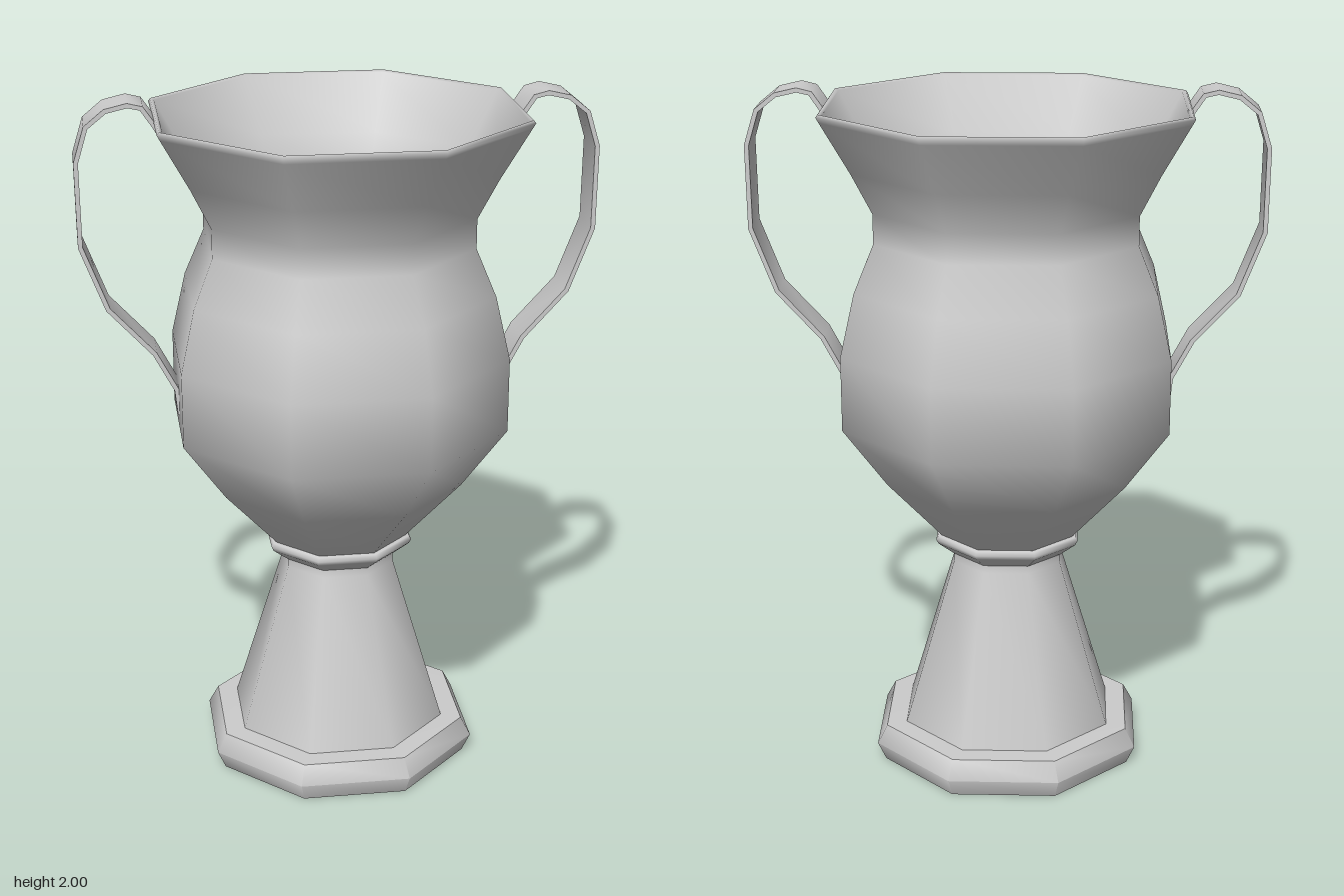
import * as THREE from 'three';
import { toCreasedNormals } from 'three/addons/utils/BufferGeometryUtils.js';

const SIDES = 8;
const toCorner = 1 / Math.cos(Math.PI / SIDES);
const material = new THREE.MeshStandardMaterial({ color: 0xcccccc });

// Eight-sided turned part; profile is [distance to flat, height], bottom to top
function turned(name, profile, crease) {
  const points = profile.map(([r, y]) => new THREE.Vector2(r * toCorner, y));
  let geometry = new THREE.LatheGeometry(points, SIDES, Math.PI / SIDES);
  if (crease) geometry = toCreasedNormals(geometry, crease);
  const mesh = new THREE.Mesh(geometry, material);
  mesh.name = name;
  return mesh;
}

// Flat strap following a path in the xy plane
function strap(name, path, thickness, width) {
  const pts = path.map(([x, y]) => new THREE.Vector2(x, y));
  const offset = (side) => pts.map((p, i) => {
    const a = pts[Math.max(i - 1, 0)];
    const b = pts[Math.min(i + 1, pts.length - 1)];
    const d = b.clone().sub(a).normalize();
    return new THREE.Vector2(p.x - d.y * side, p.y + d.x * side);
  });
  const outline = [...offset(thickness / 2), ...offset(-thickness / 2).reverse()];
  const geometry = new THREE.ExtrudeGeometry(new THREE.Shape(outline), { depth: width, bevelEnabled: false });
  geometry.translate(0, 0, -width / 2);
  const mesh = new THREE.Mesh(toCreasedNormals(geometry, 0.9), material);
  mesh.name = name;
  return mesh;
}

export function createModel() {
  const group = new THREE.Group();
  group.name = 'trophyCup';

  // Foot and stem
  group.add(turned('base', [
    [0, 0], [0.36, 0], [0.383, 0.055], [0.355, 0.11], [0.29, 0.112], [0, 0.112],
  ], 1.05));
  group.add(turned('stem', [[0.3, 0.105], [0.155, 0.61], [0.155, 0.65]]));
  group.add(turned('collar', [
    [0.14, 0.625], [0.157, 0.635], [0.2, 0.672], [0.206, 0.685], [0.2, 0.696], [0.17, 0.7],
  ]));

  // Cup: outer wall, rolled rim, inner wall and floor
  group.add(turned('cup', [
    [0.15, 0.68], [0.19, 0.697], [0.34, 0.875], [0.46, 1.055], [0.46, 1.27],
    [0.42, 1.45], [0.365, 1.585], [0.365, 1.67], [0.42, 1.785], [0.498, 1.93],
    [0.506, 1.945], [0.5, 1.953], [0.49, 1.948],
    [0.405, 1.79], [0.35, 1.675], [0.35, 1.58], [0.405, 1.445], [0.445, 1.265],
    [0.445, 1.06], [0.325, 0.885], [0.17, 0.715], [0, 0.715],
  ]));

  // Strap handles, one per side
  const handlePath = [
    [0.478, 1.89], [0.505, 1.937], [0.537, 1.984], [0.575, 1.993], [0.635, 1.979],
    [0.688, 1.936], [0.718, 1.84], [0.716, 1.605], [0.648, 1.425], [0.524, 1.29],
    [0.466, 1.18], [0.458, 1.105],
  ];
  const left = strap('leftHandle', handlePath, 0.013, 0.125);
  const right = left.clone();
  right.name = 'rightHandle';
  right.rotation.y = Math.PI;
  group.add(left, right);

  return group;
}
